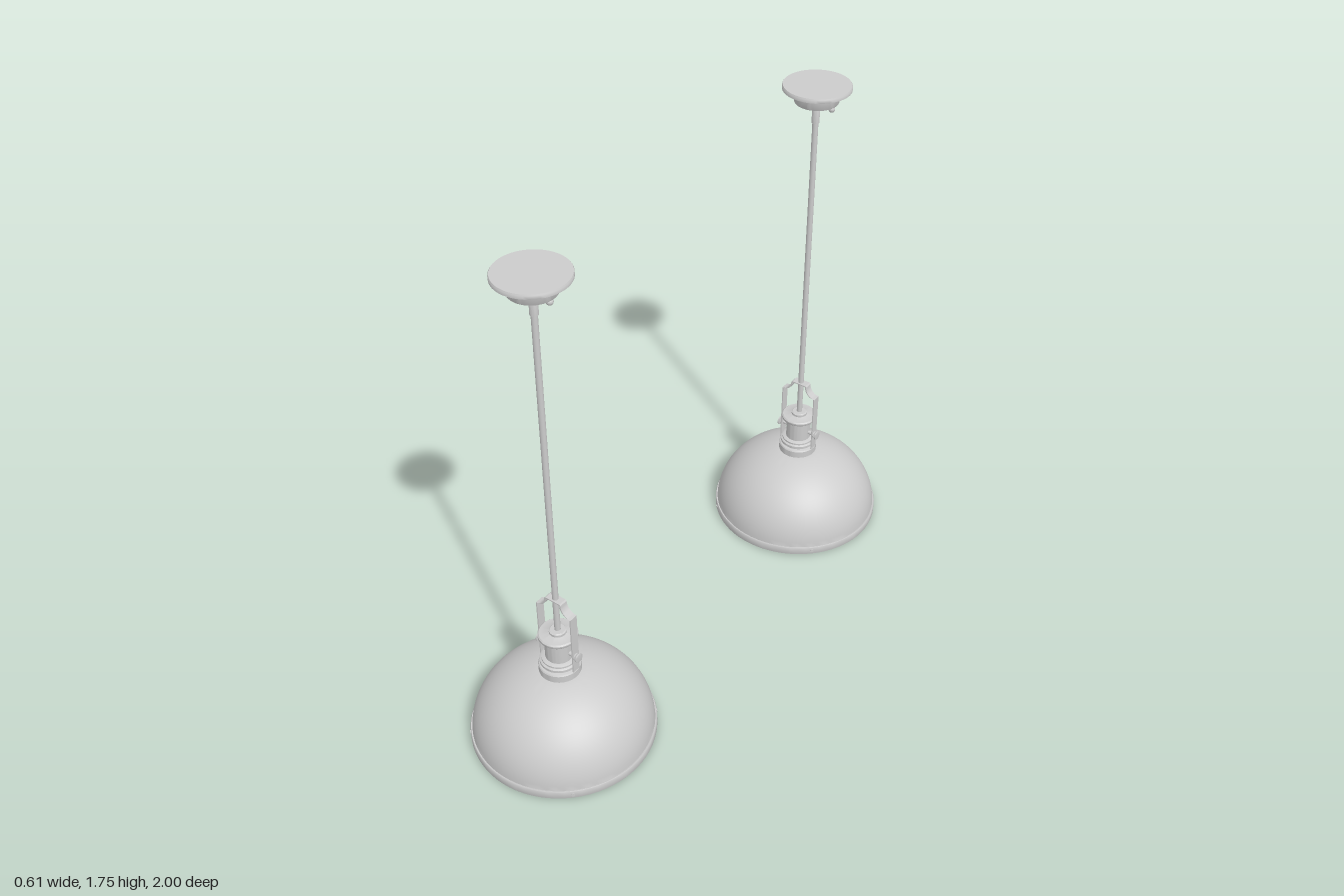
import * as THREE from 'three';
import { toCreasedNormals } from 'three/addons/utils/BufferGeometryUtils.js';

const material = new THREE.MeshStandardMaterial({ color: 0xcccccc, side: THREE.DoubleSide });

function add(group, name, geometry, x = 0, y = 0, z = 0) {
  const mesh = new THREE.Mesh(geometry, material);
  mesh.name = name;
  mesh.position.set(x, y, z);
  group.add(mesh);
  return mesh;
}

// Turned part from [radius, height] pairs, bottom to top
function turned(points, segments = 48) {
  const profile = points.map(([r, y]) => new THREE.Vector2(r, y));
  return toCreasedNormals(new THREE.LatheGeometry(profile, segments), 0.6);
}

// Points along the dome curve, from the rim to the neck
function domeArc(a, b, yStart, rEnd) {
  const t0 = Math.asin((yStart - 0.02) / b);
  const t1 = Math.acos(rEnd / a);
  return Array.from({ length: 19 }, (_, i) => {
    const t = t0 + (t1 - t0) * i / 18;
    return [a * Math.cos(t), 0.02 + b * Math.sin(t)];
  });
}

// Half outline of the yoke, offset inwards by d
function yokeSide(d) {
  const points = [[0.069 - d, 0.3], [0.069 - d, 0.527]];
  for (let i = 1; i <= 8; i++) {
    const t = (i / 8) * Math.PI / 2;
    points.push([0.069 - d - 0.037 * Math.sin(t), 0.568 - d - (0.041 - d) * Math.cos(t)]);
  }
  points.push([0.028 - d, 0.572 - d]);
  return points;
}

function createPendant() {
  const g = new THREE.Group();
  g.name = 'pendantLamp';

  // Hollow dome shade with rim band
  const outer = domeArc(0.299, 0.258, 0.03, 0.066);
  const inner = domeArc(0.294, 0.253, 0.022, 0.03).reverse();
  add(g, 'shade', turned([
    [0.294, 0], [0.304, 0], [0.305, 0.003], [0.305, 0.028], [0.303, 0.031],
    ...outer, ...inner, [0.294, 0]], 72));
  for (let i = 0; i < 4; i++) {
    const a = Math.PI / 4 + i * Math.PI / 2;
    const screw = add(g, 'rimScrew', new THREE.CylinderGeometry(0.006, 0.006, 0.014, 12),
      0.3 * Math.cos(a), 0.015, 0.3 * Math.sin(a));
    screw.rotation.set(0, -a, Math.PI / 2);
  }

  // Stepped neck, socket body and cap
  add(g, 'socket', turned([
    [0, 0.268], [0.069, 0.268], [0.069, 0.296], [0.066, 0.3], [0.057, 0.302], [0.057, 0.307],
    [0.064, 0.309], [0.064, 0.318], [0.058, 0.322], [0.058, 0.328], [0.045, 0.331],
    [0.045, 0.412], [0.062, 0.414], [0.064, 0.417], [0.064, 0.424], [0.06, 0.428],
    [0.028, 0.43], [0.028, 0.438], [0.024, 0.441], [0, 0.441]]));

  // Strap yoke with hollowed shoulders
  const out = yokeSide(0);
  const ins = yokeSide(0.004);
  const mirror = (pts) => pts.map(([x, y]) => [-x, y]).reverse();
  const outline = [...out, ...mirror(out), ...ins.map(([x, y]) => [-x, y]), ...ins.slice().reverse()];
  const strap = new THREE.ExtrudeGeometry(
    new THREE.Shape(outline.map(([x, y]) => new THREE.Vector2(x, y))),
    { depth: 0.03, bevelEnabled: false });
  add(g, 'yoke', toCreasedNormals(strap, 0.5), 0, 0, -0.015);

  // Thumb screws holding the yoke
  for (const side of [1, -1]) {
    const screw = add(g, 'thumbScrew', turned([
      [0, 0.04], [0.007, 0.04], [0.007, 0.069], [0.013, 0.069], [0.013, 0.073],
      [0.006, 0.074], [0.006, 0.077], [0.016, 0.079], [0.016, 0.083], [0, 0.085]], 20), 0, 0.36, 0);
    screw.rotation.z = -side * Math.PI / 2;
  }

  // Stem, its upper sleeve and swivel
  add(g, 'stem', new THREE.CylinderGeometry(0.01, 0.01, 1.22, 20), 0, 1.04, 0);
  add(g, 'stemSleeve', turned([[0, 1.612], [0.013, 1.612], [0.013, 1.668], [0.01, 1.676], [0, 1.678]], 20));
  add(g, 'swivel', new THREE.CylinderGeometry(0.005, 0.005, 0.03, 12), 0, 1.68, 0);

  // Ceiling canopy
  add(g, 'canopy', turned([
    [0, 1.686], [0.071, 1.686], [0.073, 1.689], [0.073, 1.724], [0.098, 1.724], [0.102, 1.73],
    [0.113, 1.731], [0.113, 1.742], [0.111, 1.745], [0, 1.745]]));
  for (const side of [1, -1]) {
    add(g, 'canopyScrew', new THREE.CylinderGeometry(0.006, 0.006, 0.016, 12), side * 0.058, 1.682, 0);
    add(g, 'canopyScrewKnob', new THREE.SphereGeometry(0.011, 16, 10), side * 0.058, 1.675, 0);
  }
  return g;
}

export function createModel() {
  const model = new THREE.Group();
  model.name = 'pendantLampPair';
  for (const z of [0.695, -0.695]) {
    const lamp = createPendant();
    lamp.position.z = z;
    model.add(lamp);
  }
  return model;
}
